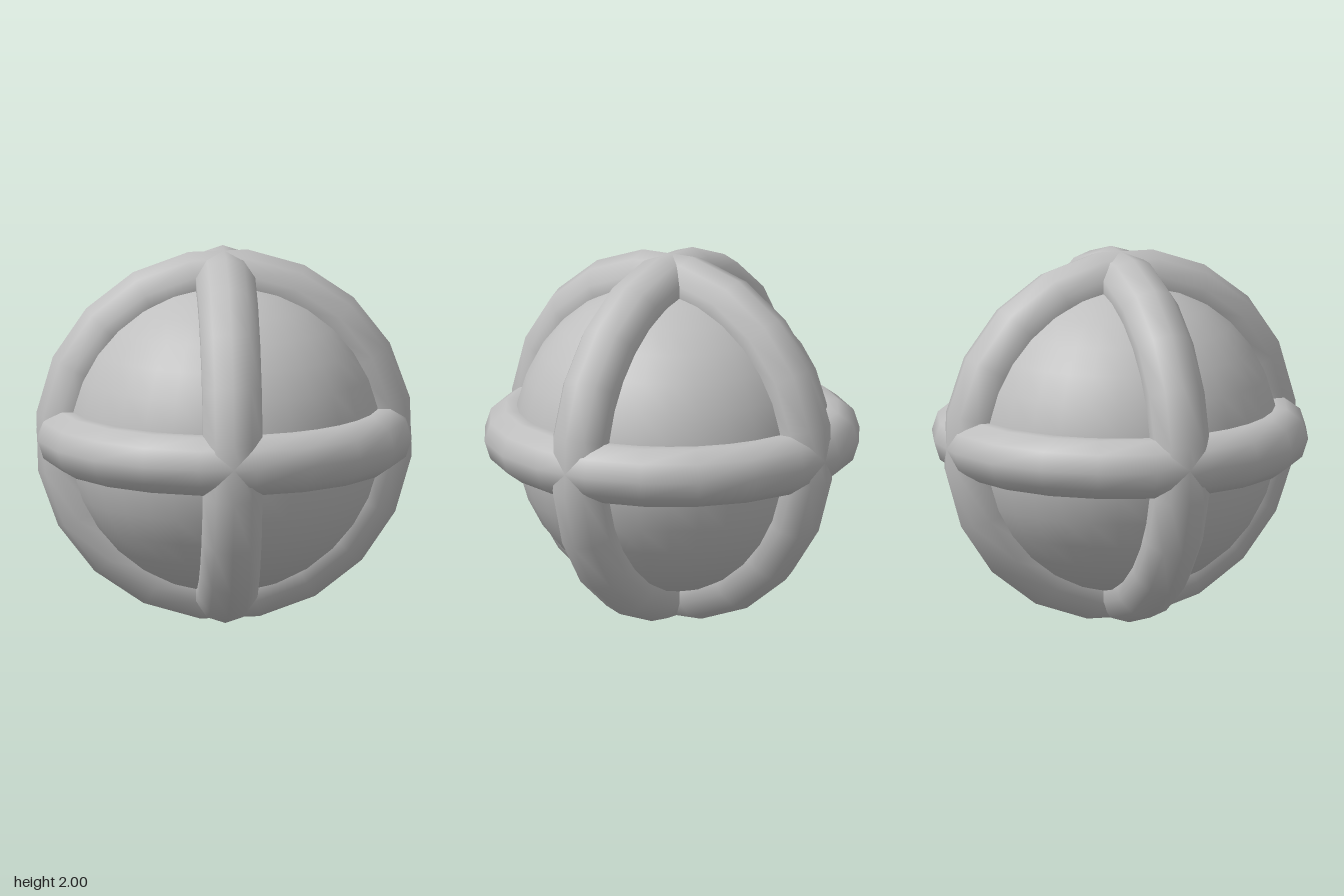
import * as THREE from 'three';

export function createModel() {
  const model = new THREE.Group();
  const grey = new THREE.MeshStandardMaterial({ color: 0xbfbfbf });
  grey.name = 'grey';

  const add = (name, geometry) => {
    const mesh = new THREE.Mesh(geometry, grey);
    mesh.name = name;
    mesh.position.y = 1;
    model.add(mesh);
  };

  // Ring with ten-sided tube; the spin sets where its twenty segments start
  const ring = (spinDegrees) =>
    new THREE.TorusGeometry(0.8425, 0.166, 10, 20).rotateZ(THREE.MathUtils.degToRad(spinDegrees));

  // Round core, half sunk into the rings
  add('core', new THREE.SphereGeometry(0.842, 32, 16));

  // Three rings at right angles to each other
  add('frontRing', ring(10.8));
  add('sideRing', ring(10.8).rotateY(Math.PI / 2));
  add('levelRing', ring(7.2).rotateX(-Math.PI / 2));

  return model;
}
